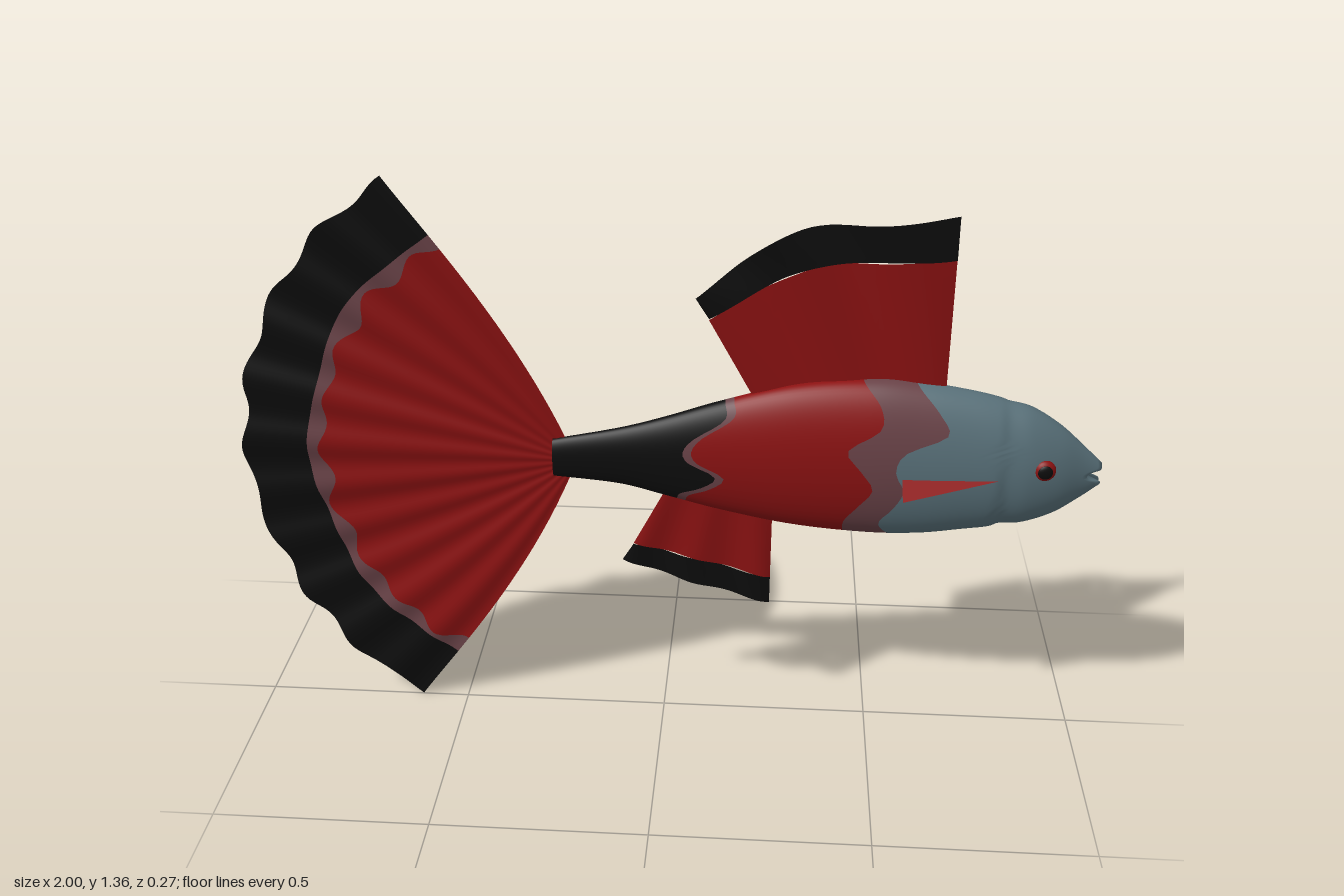
import * as THREE from 'three';

const mat = (name, color, side = THREE.FrontSide) => {
  const m = new THREE.MeshStandardMaterial({ color, side });
  m.name = name;
  return m;
};

// Smooth interpolation through rows of [x, value, value, ...]
function sample(rows, x, k = 1) {
  let i = 0;
  while (i < rows.length - 2 && x > rows[i + 1][0]) i++;
  const at = (n) => rows[Math.min(Math.max(n, 0), rows.length - 1)];
  const [p, a, b, q] = [at(i - 1), at(i), at(i + 1), at(i + 2)];
  const d = b[0] - a[0];
  const t = Math.min(Math.max((x - a[0]) / d, 0), 1);
  const ma = ((b[k] - p[k]) / (b[0] - p[0])) * d;
  const mb = ((q[k] - a[k]) / (q[0] - a[0])) * d;
  const t2 = t * t, t3 = t2 * t;
  return (2 * t3 - 3 * t2 + 1) * a[k] + (t3 - 2 * t2 + t) * ma + (3 * t2 - 2 * t3) * b[k] + (t3 - t2) * mb;
}

// Body sections: x, top, bottom, half width
const SECTIONS = [
  [-0.26, 0.74, 0.645, 0.018], [-0.1, 0.775, 0.63, 0.028], [0, 0.805, 0.605, 0.037],
  [0.13, 0.85, 0.572, 0.05], [0.3, 0.897, 0.54, 0.067], [0.48, 0.916, 0.526, 0.078],
  [0.6, 0.908, 0.53, 0.08], [0.7, 0.892, 0.545, 0.079], [0.76, 0.878, 0.555, 0.077],
  [0.775, 0.872, 0.563, 0.072], [0.83, 0.858, 0.568, 0.07], [0.9, 0.815, 0.595, 0.053],
  [0.96, 0.762, 0.637, 0.027], [1, 0.724, 0.67, 0.012],
];

// Colour borders: x at evenly spaced heights from belly to back
const border = (xs) => {
  const rows = xs.map((x, i) => [-1 + (2 * i) / (xs.length - 1), x]);
  return (h) => sample(rows, h);
};
const blackEdge = border([0.03, 0.04, 0.09, 0.12, 0.06, 0.045, 0.07, 0.14, 0.14]);
const redEdge = border([0.42, 0.42, 0.45, 0.48, 0.45, 0.42, 0.49, 0.49, 0.45]);
const greyEdge = border([0.53, 0.5, 0.53, 0.55, 0.53, 0.55, 0.64, 0.62, 0.57]);
const noseEdge = (h) => 1 - 0.035 * Math.exp(-((h / 0.3) ** 2)); // mouth notch

function bodyGeometry() {
  const N = 72;
  const zones = [
    [() => -0.26, blackEdge, 14, 0],
    [blackEdge, (h) => blackEdge(h) + 0.02, 2, 1],
    [(h) => blackEdge(h) + 0.02, redEdge, 14, 2],
    [redEdge, greyEdge, 5, 1],
    [greyEdge, noseEdge, 40, 3],
  ];
  const pos = [], index = [], geo = new THREE.BufferGeometry();
  const ring = (from, to, t) => {
    for (let j = 0; j < N; j++) {
      const a = (j / N) * Math.PI * 2, h = Math.cos(a);
      const x = THREE.MathUtils.lerp(from(h), to(h), t);
      const top = sample(SECTIONS, x, 1), low = sample(SECTIONS, x, 2);
      pos.push(x, (top + low) / 2 + ((top - low) / 2) * h, sample(SECTIONS, x, 3) * Math.sin(a));
    }
  };
  ring(zones[0][0], zones[0][1], 0);
  let r = 0;
  for (const [from, to, steps, material] of zones) {
    const start = index.length;
    for (let s = 1; s <= steps; s++, r++) {
      ring(from, to, s / steps);
      for (let j = 0; j < N; j++) {
        const a = r * N + j, b = r * N + ((j + 1) % N);
        index.push(a, b, a + N, b, b + N, a + N);
      }
    }
    if (material === 3) { // inside of the mouth
      const centre = pos.length / 3;
      pos.push(0.962, 0.697, 0);
      for (let j = 0; j < N; j++) index.push(r * N + j, r * N + ((j + 1) % N), centre);
    }
    geo.addGroup(start, index.length - start, material);
  }
  geo.setAttribute('position', new THREE.Float32BufferAttribute(pos, 3));
  geo.setIndex(index);
  geo.computeVertexNormals();
  return geo;
}

// Surface grid from fn(u, v) -> [x, y, z]
function sheet(nu, nv, fn) {
  const geo = new THREE.PlaneGeometry(1, 1, nu, nv);
  const p = geo.attributes.position;
  for (let i = 0; i < p.count; i++) p.setXYZ(i, ...fn(p.getX(i) + 0.5, p.getY(i) + 0.5));
  geo.computeVertexNormals();
  return geo;
}

// Fin membrane between two outlines, with a slight ripple
function finStrip(lower, upper) {
  const curve = (pts) => new THREE.SplineCurve(pts.map(([x, y]) => new THREE.Vector2(x, y)));
  const a = curve(lower), b = curve(upper);
  return sheet(32, 8, (u, v) => {
    const q = a.getPoint(u).lerp(b.getPoint(u), v);
    return [q.x, q.y, 0.035 * Math.abs(q.y - 0.72) * Math.sin(u * 16 + v)  * 0.5];
  });
}

// Fan-shaped tail between two radii given as functions of s in -1..1
function fanStrip(inner, outer) {
  return sheet(128, 14, (u, v) => {
    const s = u * 2 - 1;
    const r = THREE.MathUtils.lerp(inner(s), outer(s), v), k = r / 0.8;
    const half = THREE.MathUtils.degToRad(59 + 10 * Math.max(0, 1 - k) ** 1.3);
    const z = k * (0.006 * Math.sin(s * 34) + 0.006 * Math.sin(s * 7 + 1));
    return [-0.205 - r * Math.cos(half * s), 0.684 + r * Math.sin(half * s), z];
  });
}

export function createModel() {
  const model = new THREE.Group();
  const black = mat('black', 0x0d0d0d, THREE.DoubleSide);
  const mauve = mat('mauve', 0x6a4348, THREE.DoubleSide);
  const red = mat('deep red', 0x8c1212, THREE.DoubleSide);
  const slate = mat('slate grey', 0x5a727b);
  const add = (name, geo, material, parent = model) => {
    const m = new THREE.Mesh(geo, material);
    m.name = name;
    parent.add(m);
    return m;
  };

  add('body', bodyGeometry(), [black, mauve, red, slate]);
  const cap = add('bodyEnd', new THREE.CircleGeometry(1, 32), black);
  cap.scale.set(0.018, 0.0475, 1);
  cap.rotation.y = -Math.PI / 2;
  cap.position.set(-0.26, 0.6925, 0);

  // Tail fan
  const redRim = (s) => 0.6 + 0.013 * Math.cos(s * 9 * Math.PI) + 0.006 * Math.sin(s * 21);
  const mauveRim = (s) => 0.632 + 0.006 * Math.cos(s * 11);
  const blackRim = (s) => 0.785 + 0.01 * Math.cos(s * 8 * Math.PI);
  add('tailFin', fanStrip(() => 0.01, redRim), red);
  add('tailFinLine', fanStrip(redRim, mauveRim), mauve);
  add('tailFinEdge', fanStrip(mauveRim, blackRim), black);

  // Back fin
  const backBand = [[0.1, 1.05], [0.22, 1.125], [0.33, 1.178], [0.47, 1.19], [0.635, 1.2]];
  add('backFin', finStrip([[0.21, 0.85], [0.31, 0.87], [0.42, 0.88], [0.53, 0.88], [0.635, 0.87]], backBand), red);
  add('backFinEdge', finStrip(backBand, [[0.07, 1.1], [0.185, 1.195], [0.3, 1.265], [0.46, 1.275], [0.635, 1.297]]), black);

  // Belly fin
  const bellyBand = [[-0.073, 0.468], [0.08, 0.43], [0.255, 0.385]];
  add('bellyFin', finStrip(bellyBand, [[0.01, 0.63], [0.13, 0.6], [0.255, 0.57]]), red);
  add('bellyFinEdge', finStrip([[-0.1, 0.422], [0.07, 0.365], [0.255, 0.315]], bellyBand), black);

  // Side fins and eyes, mirrored
  for (const side of [1, -1]) {
    const name = side > 0 ? 'left' : 'right';
    const fin = new THREE.BufferGeometry();
    const corners = [[0.76, 0.708, 0.078], [0.545, 0.71, 0.07], [0.545, 0.675, 0.133]];
    if (side < 0) corners.reverse();
    fin.setAttribute('position', new THREE.Float32BufferAttribute(corners.flatMap(([x, y, z]) => [x, y, z * side]), 3));
    fin.computeVertexNormals();
    add(name + 'SideFin', fin, red);

    const eye = new THREE.Group();
    eye.name = name + 'Eye';
    eye.position.set(0.863, 0.73, 0.06 * side);
    add('iris', new THREE.SphereGeometry(0.025, 24, 16), red, eye).scale.z = 0.6;
    const pupil = add('pupil', new THREE.SphereGeometry(0.017, 24, 12), black, eye);
    pupil.scale.z = 0.4;
    pupil.position.z = 0.01 * side;
    model.add(eye);
  }
  return model;
}
